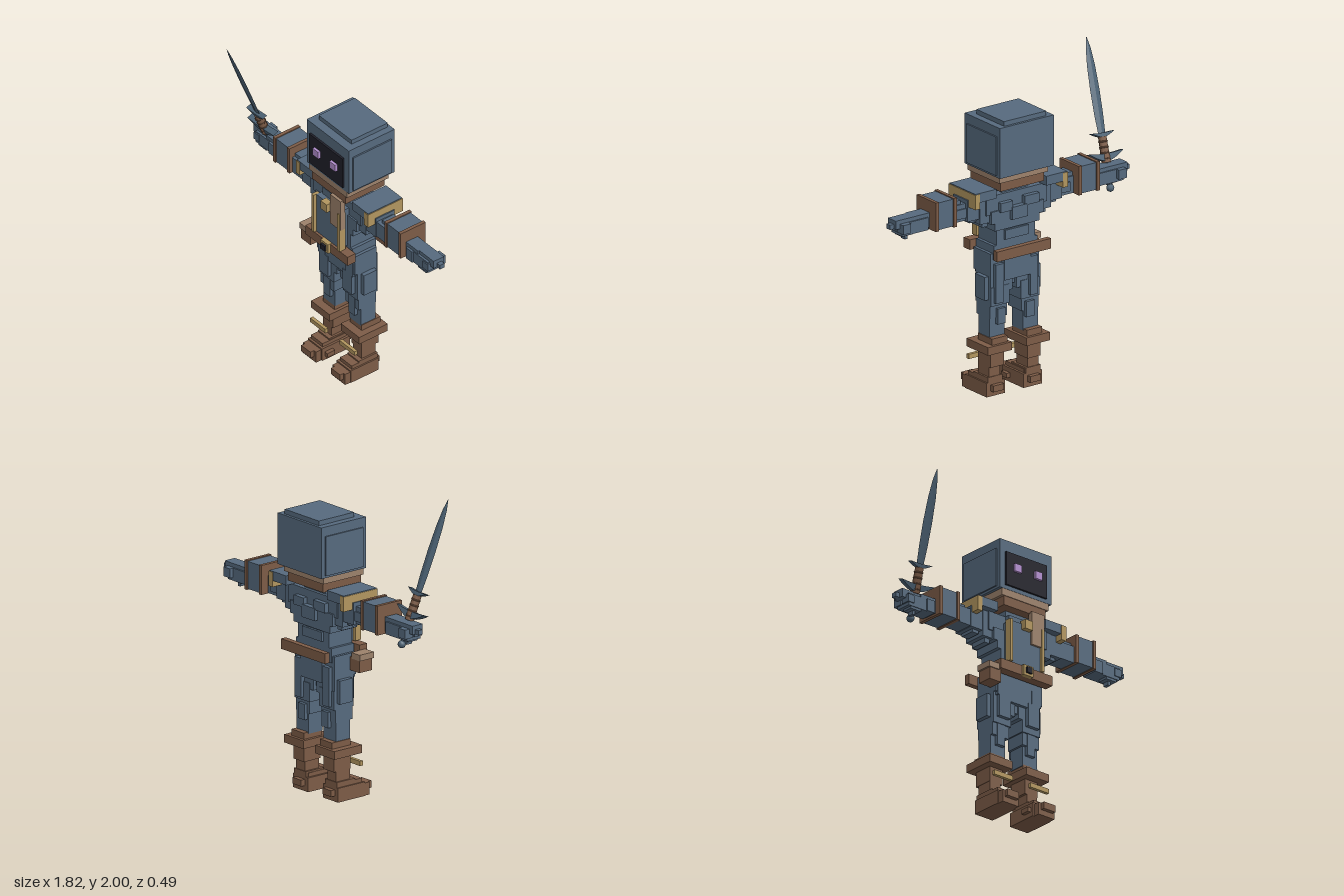
import * as THREE from 'three';

const mat = (name, color, side = THREE.FrontSide) => {
  const m = new THREE.MeshStandardMaterial({ color, side });
  m.name = name;
  return m;
};

export function createModel() {
  const root = new THREE.Group();
  root.name = 'hoodedSwordsman';
  const cloth = mat('slateCloth', 0x566a7e);
  const leather = mat('brownLeather', 0x7d5c47);
  const tan = mat('tanScarf', 0x9c816b);
  const gold = mat('goldTrim', 0xb2965f);
  const black = mat('faceShadow', 0x20202a);
  const violet = mat('violetEyes', 0xb490d0);
  const steel = mat('blueSteel', 0x4d6375, THREE.DoubleSide);

  const group = (name, parent = root) => {
    const g = new THREE.Group();
    g.name = name;
    parent.add(g);
    return g;
  };
  // Box given by its limits on x, y and z
  const box = (parent, name, m, x0, x1, y0, y1, z0, z1) => {
    const mesh = new THREE.Mesh(new THREE.BoxGeometry(Math.abs(x1 - x0), y1 - y0, z1 - z0), m);
    mesh.position.set((x0 + x1) / 2, (y0 + y1) / 2, (z0 + z1) / 2);
    mesh.name = name;
    parent.add(mesh);
  };
  const boxes = (parent, name, m, list) => list.forEach(b => box(parent, name, m, ...b));
  // Same boxes on the side given by s (+1 left, -1 right)
  const sided = (parent, s, name, m, list) =>
    list.forEach(([a, b, ...r]) => box(parent, name, m, s * a, s * b, ...r));

  // Head, hood and scarf
  const head = group('head');
  boxes(head, 'hood', cloth, [
    [-0.205, 0.205, 1.445, 1.77, -0.243, 0.112],
    [-0.16, 0.16, 1.77, 1.8, -0.225, 0.055],
    [-0.215, 0.215, 1.46, 1.71, -0.215, 0.085],
  ]);
  box(head, 'face', black, -0.165, 0.16, 1.47, 1.69, 0.1, 0.126);
  for (const s of [1, -1]) box(head, 'eye', violet, s * 0.055, s * 0.11, 1.57, 1.62, 0.126, 0.143);
  box(head, 'scarf', tan, -0.185, 0.185, 1.4, 1.46, -0.21, 0.11);
  box(head, 'scarfLower', leather, -0.165, 0.165, 1.34, 1.4, -0.195, 0.105);
  box(head, 'scarfTail', tan, 0.04, 0.14, 1.13, 1.35, 0.09, 0.125);

  // Torso in stepped blocks
  const torso = group('torso');
  boxes(torso, 'torsoBlock', cloth, [
    [-0.1, 0.1, 1.28, 1.34, -0.12, 0.04],
    [-0.23, 0.23, 1.18, 1.3, -0.14, 0.04],
    [-0.2, 0.2, 1.12, 1.2, -0.15, 0.05],
    [-0.17, 0.17, 1.07, 1.13, -0.145, 0.05],
    [-0.145, 0.145, 0.96, 1.08, -0.13, 0.05],
    [-0.165, 0.165, 0.88, 0.97, -0.13, 0.05],
    [-0.185, 0.185, 0.78, 0.92, -0.12, 0.05],
    [-0.1, 0.1, 0.74, 0.9, -0.15, 0.05],
    [-0.04, 0.04, 0.69, 0.76, -0.1, 0.02],
    [-0.115, 0.115, 0.97, 1.25, 0.04, 0.11],
    [-0.1, 0.06, 1.24, 1.3, 0.03, 0.075],
    [-0.06, 0.06, 1.13, 1.21, -0.175, -0.12],
    [-0.15, -0.04, 1.2, 1.26, -0.17, -0.12],
    [0.05, 0.14, 1.19, 1.25, -0.17, -0.12],
    [-0.09, 0.09, 1.0, 1.06, -0.145, -0.12],
  ]);
  for (const s of [1, -1]) box(torso, 'vestTrim', gold, s * 0.115, s * 0.137, 0.97, 1.25, 0.085, 0.13);
  box(torso, 'clasp', gold, -0.03, 0.03, 1.21, 1.27, 0.1, 0.145);

  // Belt and pouch
  const belt = group('belt');
  box(belt, 'beltFront', leather, -0.205, 0.205, 0.9, 0.965, 0.06, 0.122);
  box(belt, 'beltBack', leather, -0.205, 0.205, 0.9, 0.965, -0.215, -0.178);
  box(belt, 'buckle', gold, -0.037, 0.037, 0.9, 0.968, 0.11, 0.14);
  box(belt, 'buckleCentre', black, -0.02, 0.02, 0.915, 0.953, 0.135, 0.155);
  box(belt, 'pouch', leather, -0.275, -0.185, 0.815, 0.9, 0, 0.1);
  box(belt, 'pouchFlap', tan, -0.285, -0.205, 0.893, 0.932, -0.005, 0.107);

  for (const s of [1, -1]) {
    const side = s > 0 ? 'left' : 'right';

    // Arm, hand, shoulder pad and cuff
    const arm = group(side + 'Arm');
    sided(arm, s, 'armBlock', cloth, [
      [0.17, 0.27, 1.13, 1.3, -0.13, 0.03],
      [0.2, 0.24, 1.1, 1.14, -0.11, 0.01],
      [0.26, 0.36, 1.165, 1.305, -0.12, 0.025],
      [0.28, 0.33, 1.145, 1.18, -0.1, 0.0],
      [0.35, 0.48, 1.17, 1.28, -0.1, 0.02],
      [0.39, 0.46, 1.2, 1.305, -0.09, 0.0],
      [0.36, 0.43, 1.19, 1.25, -0.11, 0.0],
      [0.6, 0.74, 1.18, 1.275, -0.09, 0.0],
      [0.64, 0.7, 1.17, 1.25, -0.1, 0.015],
    ]);
    sided(arm, s, 'hand', cloth, [
      [0.7, 0.84, 1.17, 1.25, -0.1, 0.005],
      [0.71, 0.88, 1.22, 1.275, -0.09, -0.01],
      [0.83, 0.91, 1.22, 1.25, -0.07, -0.035],
      [0.79, 0.85, 1.19, 1.25, -0.125, -0.06],
      [0.8, 0.85, 1.19, 1.24, -0.05, 0.012],
      [0.74, 0.82, 1.155, 1.2, -0.07, 0.0],
      [0.77, 0.79, 1.13, 1.17, -0.06, -0.02],
    ]);
    box(arm, 'shoulderPad', cloth, s * 0.19, s * 0.348, 1.3, 1.36, -0.187, 0.076);
    box(arm, 'shoulderTrim', gold, s * 0.315, s * 0.352, 1.26, 1.355, -0.19, 0.08);
    box(arm, 'cuff', cloth, s * 0.48, s * 0.605, 1.173, 1.348, -0.145, 0.035);
    for (const x of [0.463, 0.6]) box(arm, 'cuffBand', leather, s * x, s * (x + 0.023), 1.167, 1.354, -0.152, 0.042);

    // Leg in stepped blocks
    const leg = group(side + 'Leg');
    sided(leg, s, 'legBlock', cloth, [
      [0.015, 0.185, 0.66, 0.82, -0.12, 0.03],
      [0.045, 0.185, 0.58, 0.7, -0.125, 0.03],
      [0.17, 0.213, 0.62, 0.77, -0.1, 0.0],
      [0.07, 0.16, 0.62, 0.77, -0.02, 0.055],
      [0.1, 0.16, 0.6, 0.85, -0.145, -0.1],
      [0.055, 0.185, 0.5, 0.6, -0.115, 0.02],
      [0.07, 0.185, 0.37, 0.52, -0.11, 0.0],
      [0.09, 0.15, 0.44, 0.58, -0.02, 0.025],
      [0.08, 0.14, 0.46, 0.56, -0.135, -0.09],
      [0.1, 0.17, 0.76, 0.86, 0.02, 0.055],
    ]);

    // Boot
    const boot = group(side + 'Boot');
    sided(boot, s, 'bootBlock', leather, [
      [0.075, 0.19, 0.33, 0.38, -0.145, 0.0],
      [0.055, 0.235, 0.288, 0.34, -0.165, 0.055],
      [0.09, 0.19, 0.19, 0.3, -0.13, 0.0],
      [0.105, 0.188, 0.09, 0.2, -0.11, 0.0],
      [0.09, 0.2, 0.08, 0.125, -0.115, 0.03],
      [0.07, 0.21, 0.0, 0.09, -0.115, 0.1],
      [0.085, 0.2, 0.08, 0.115, -0.1, 0.085],
      [0.08, 0.205, 0.0, 0.08, 0.09, 0.14],
      [0.1, 0.19, 0.035, 0.08, 0.13, 0.167],
      [0.045, 0.08, 0.03, 0.06, 0.02, 0.08],
      [0.1, 0.18, 0.035, 0.075, -0.145, -0.1],
    ]);
    box(boot, 'bootStrap', gold, s * 0.07, s * 0.217, 0.2, 0.23, 0.055, 0.077);
  }

  // Sword, built upright and then leaned into the right hand
  const sword = group('sword');
  const base = new THREE.Vector3(-0.76, 1.13, -0.075);
  const axis = new THREE.Vector3(-0.82, 2, 0.245).sub(base);
  const length = axis.length();
  sword.position.copy(base);
  sword.quaternion.setFromUnitVectors(new THREE.Vector3(0, 1, 0), axis.normalize());
  const place = (name, geo, m, y) => {
    const mesh = new THREE.Mesh(geo, m);
    mesh.position.y = y;
    mesh.name = name;
    sword.add(mesh);
    return mesh;
  };
  place('pommel', new THREE.SphereGeometry(0.025, 8, 6), steel, 0);
  place('tang', new THREE.CylinderGeometry(0.012, 0.012, 0.16, 8), steel, 0.08);
  place('grip', new THREE.CylinderGeometry(0.026, 0.029, 0.16, 8), leather, 0.235);
  for (let i = 0; i < 4; i++) {
    place('gripWrap', new THREE.TorusGeometry(0.027, 0.005, 4, 8).rotateX(Math.PI / 2), leather, 0.18 + i * 0.035);
  }

  // Crescent guards with upturned points
  const guard = (half, rise, thick, depth) => {
    const s = new THREE.Shape();
    s.moveTo(-half, rise);
    s.quadraticCurveTo(-half * 0.4, -thick * 0.5, 0, -thick * 0.5);
    s.quadraticCurveTo(half * 0.4, -thick * 0.5, half, rise);
    s.quadraticCurveTo(half * 0.4, thick, 0, thick);
    s.quadraticCurveTo(-half * 0.4, thick, -half, rise);
    return new THREE.ExtrudeGeometry(s, { depth, bevelEnabled: false, curveSegments: 6 }).translate(0, 0, -depth / 2);
  };
  place('mainGuard', guard(0.13, 0.04, 0.03, 0.04), steel, 0.18);
  place('upperGuard', guard(0.083, 0.022, 0.018, 0.035), steel, 0.32);

  // Blade with a diamond section tapering to the tip
  const rings = [[0.32, 0.026], [0.45, 0.033], [0.6, 0.035], [0.75, 0.03], [0.86, 0.018], [length, 0.001]];
  const pos = [], idx = [];
  rings.forEach(([y, w], i) => {
    const t = w * 0.22;
    pos.push(-w, y, 0, 0, y, t, w, y, 0, 0, y, -t);
    if (i) for (let k = 0; k < 4; k++) {
      const a = (i - 1) * 4 + k, b = (i - 1) * 4 + (k + 1) % 4;
      idx.push(a, b, b + 4, a, b + 4, a + 4);
    }
  });
  let blade = new THREE.BufferGeometry();
  blade.setAttribute('position', new THREE.Float32BufferAttribute(pos, 3));
  blade.setIndex(idx);
  blade = blade.toNonIndexed();
  blade.computeVertexNormals();
  place('blade', blade, steel, 0);

  return root;
}
